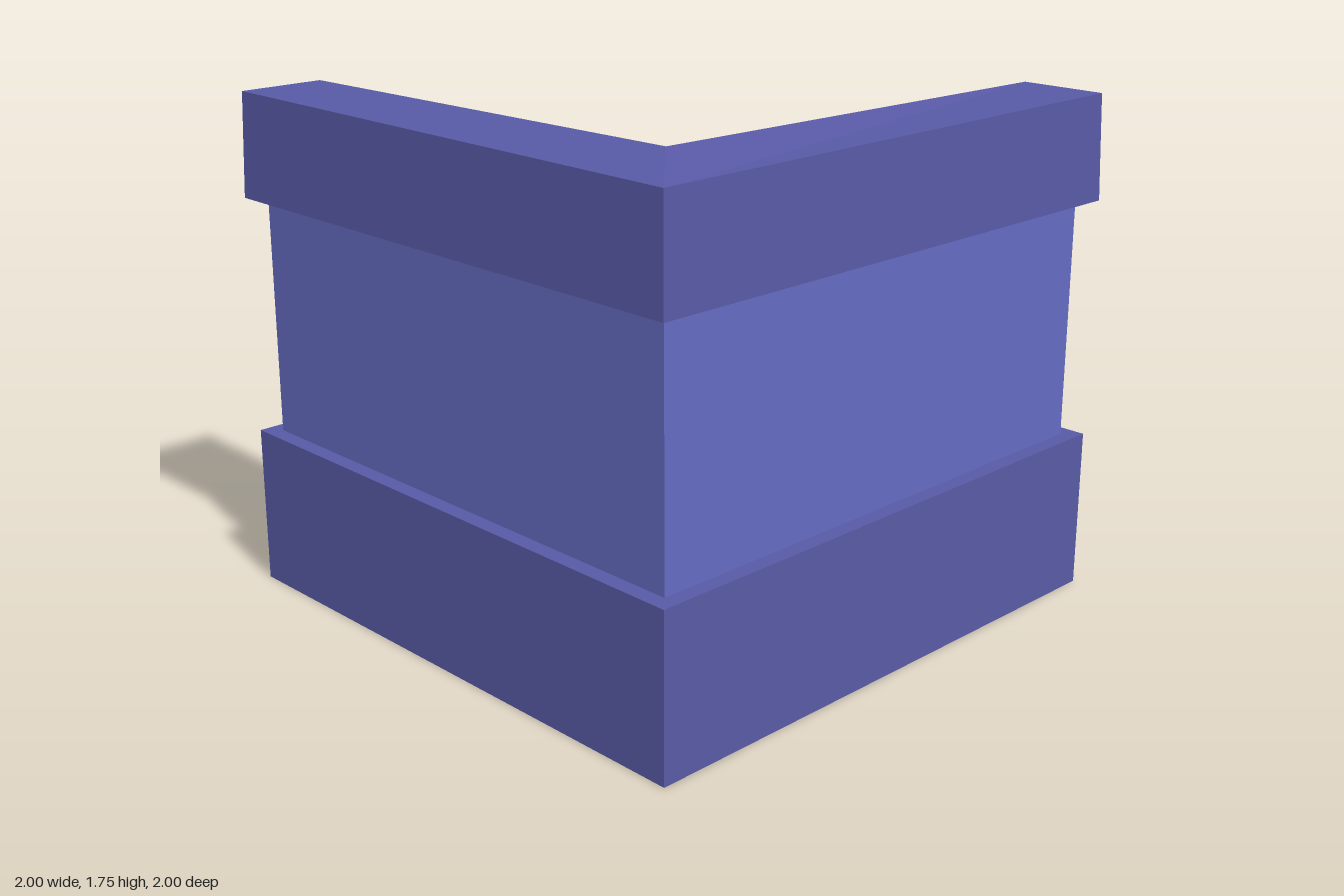
import * as THREE from 'three';

const mat = (color, extra = {}) => new THREE.MeshStandardMaterial({ color, ...extra });
const M = {
  wall: mat(0x646bc2), trim: mat(0x585aa6), floor: mat(0x7474a0, { side: THREE.DoubleSide }),
  rug: mat(0x524878, { side: THREE.DoubleSide }), wood: mat(0xe69a05), post: mat(0x9c6a10),
  knob: mat(0x96580f), sheet: mat(0x585aa6), pillow: mat(0xc4c4c4), frame: mat(0xf4e6e6),
  picture: mat(0xcccc50), pale: mat(0xbdb898), red: mat(0xd01410), green: mat(0x0f7a1c),
  book: mat(0xc08a28), shade: mat(0x6478d8, { flatShading: true, side: THREE.DoubleSide }),
};

function add(parent, name, geometry, material, x = 0, y = 0, z = 0) {
  const mesh = new THREE.Mesh(geometry, material);
  mesh.name = name;
  mesh.position.set(x, y, z);
  parent.add(mesh);
  return mesh;
}

// Box given by its limits on each axis
function box(parent, name, material, [x0, x1], [y0, y1], [z0, z1]) {
  return add(parent, name, new THREE.BoxGeometry(x1 - x0, y1 - y0, z1 - z0), material,
    (x0 + x1) / 2, (y0 + y1) / 2, (z0 + z1) / 2);
}

// Horizontal sheet given by its limits
function sheet(parent, name, material, [x0, x1], y, [z0, z1]) {
  add(parent, name, new THREE.PlaneGeometry(x1 - x0, z1 - z0).rotateX(-Math.PI / 2), material,
    (x0 + x1) / 2, y, (z0 + z1) / 2);
}

const shapeOf = (pts) => new THREE.Shape(pts.map(([x, y]) => new THREE.Vector2(x, y)));
const extrude = (shape, depth) =>
  new THREE.ExtrudeGeometry(shape, { depth, bevelEnabled: false, curveSegments: 12 });
const lathe = (pts, n) => new THREE.LatheGeometry(pts.map(([x, y]) => new THREE.Vector2(x, y)), n);

// One layer of the corner wall: two mitred arms, o = outer limit, i = inner limit
function wallLayer(parent, name, material, o, i, y0, y1, reshape) {
  const arms = {
    Front: [[-o, -o], [o, -o], [o, -i], [-i, -i]],
    Side: [[-o, -o], [-i, -i], [-i, o], [-o, o]],
  };
  for (const [side, pts] of Object.entries(arms)) {
    const g = extrude(shapeOf(pts), y1 - y0).rotateX(-Math.PI / 2).translate(0, y0, 0);
    if (reshape) {
      reshape(g.attributes.position);
      g.computeVertexNormals();
    }
    add(parent, name + side, g, material);
  }
}

// Top of the capping leans in and rises towards the inner corner
function leanTop(p) {
  for (let k = 0; k < p.count; k++) {
    if (p.getY(k) < 1.5) continue;
    const x = p.getX(k), z = p.getZ(k);
    const corner = Math.abs(x) < 0.9 && Math.abs(z) < 0.9;
    const move = (v) => (Math.abs(v) > 0.9 ? v * 0.99 : v * (corner ? 1.03 : 1));
    p.setXYZ(k, move(x), corner ? 1.753 : 1.727, move(z));
  }
}

// Arched bed end with a lower panel, trim and two posts
function bedEnd(name, z, boardZ, peak) {
  const g = new THREE.Group();
  g.name = name;
  const arch = (y, top, rise) => {
    const s = new THREE.Shape();
    s.moveTo(-0.63, y);
    s.lineTo(0.125, y);
    s.lineTo(0.125, top);
    s.quadraticCurveTo(-0.2525, top + 2 * rise, -0.63, top);
    return s;
  };
  const rise = peak - 0.585;
  box(g, 'lowerPanel', M.wood, [-0.63, 0.125], [0.285, 0.425], [boardZ - 0.024, boardZ + 0.024]);
  add(g, 'archPanel', extrude(arch(0.43, 0.55, rise), 0.048), M.wood, 0, 0, boardZ - 0.024);
  const trim = arch(0.548, 0.585, rise);
  trim.curves[0] = new THREE.QuadraticBezierCurve(new THREE.Vector2(-0.63, 0.548),
    new THREE.Vector2(-0.2525, 0.548 + 2 * rise), new THREE.Vector2(0.125, 0.548));
  add(g, 'archTrim', extrude(trim, 0.074), M.wood, 0, 0, boardZ - 0.037);
  const half = [[0.044, 0.2], [0.031, 0.32], [0.03, 0.42], [0.04, 0.54], [0.036, 0.605]];
  const profile = [...half, ...half.map(([x, y]) => [-x, y]).reverse()];
  for (const x of [-0.65, 0.145]) {
    add(g, 'post', extrude(shapeOf(profile), 0.09), M.post, x, 0, z - 0.045);
    add(g, 'postNeck', new THREE.CylinderGeometry(0.028, 0.036, 0.03, 12), M.knob, x, 0.62, z);
    add(g, 'postBall', new THREE.SphereGeometry(0.04, 16, 12), M.knob, x, 0.663, z);
  }
  return g;
}

// Deep picture frame on the side wall
function pictureFrame(z0, z1, y0, y1, border) {
  const g = new THREE.Group();
  g.name = 'pictureFrame';
  const w = (z1 - z0) / 2, h = (y1 - y0) / 2;
  const rect = (a, b) => [[-a, -b], [a, -b], [a, b], [-a, b]];
  const s = shapeOf(rect(w, h));
  s.holes.push(shapeOf(rect(w - border, h - 0.057)));
  add(g, 'frame', extrude(s, 0.09), M.frame);
  add(g, 'picture', new THREE.BoxGeometry(2 * w - 0.04, 2 * h - 0.04, 0.02), M.picture, 0, 0, 0.02);
  g.rotation.y = Math.PI / 2;
  g.position.set(-0.745, (y0 + y1) / 2, (z0 + z1) / 2);
  return g;
}

export function createModel() {
  const room = new THREE.Group();
  room.name = 'bedroom';

  // Walls, floor and rug
  wallLayer(room, 'wallBase', M.trim, 1, 0.685, 0, 0.55);
  wallLayer(room, 'wall', M.wall, 0.945, 0.743, 0.55, 1.37);
  wallLayer(room, 'wallCap', M.trim, 1, 0.687, 1.37, 1.727, leanTop);
  sheet(room, 'floor', M.floor, [-0.69, 0.942], 0.167, [-0.945, 0.69]);
  sheet(room, 'floorStrip', M.floor, [-0.69, -0.44], 0.195, [-0.945, 0.69]);
  sheet(room, 'rug', M.rug, [0.17, 0.51], 0.2, [-0.477, 0.093]);

  // Bed
  const bed = new THREE.Group();
  bed.name = 'bed';
  room.add(bed);
  bed.add(bedEnd('headboard', 0.638, 0.617, 0.68), bedEnd('footboard', -0.585, -0.585, 0.635));
  for (const x of [-0.597, 0.095]) box(bed, 'sideRail', M.wood, [x - 0.012, x + 0.012], [0.285, 0.465], [-0.56, 0.6]);
  box(bed, 'mattress', M.sheet, [-0.608, 0.106], [0.465, 0.5], [-0.545, 0.575]);
  box(bed, 'bedBase', M.sheet, [-0.585, 0.083], [0.3, 0.465], [-0.545, 0.575]);
  box(bed, 'blanket', M.sheet, [-0.598, 0.093], [0.49, 0.515], [-0.508, 0.37]);
  // Pillow: box swelling in the middle and pinched along its sides
  const pillow = new THREE.BoxGeometry(0.41, 0.07, 0.19, 8, 2, 6);
  const p = pillow.attributes.position;
  for (let k = 0; k < p.count; k++) {
    const u = p.getX(k) / 0.205, v = p.getZ(k) / 0.095;
    p.setXYZ(k, p.getX(k) * (0.97 + 0.03 * v * v),
      p.getY(k) * (0.45 + 0.55 * (1 - u ** 4) * (1 - v ** 4)), p.getZ(k) * (0.94 + 0.06 * u * u));
  }
  pillow.computeVertexNormals();
  add(bed, 'pillow', pillow, M.pillow, -0.268, 0.535, 0.46);

  // Nightstand
  const stand = new THREE.Group();
  stand.name = 'nightstand';
  room.add(stand);
  box(stand, 'cabinet', M.wood, [0.365, 0.67], [0.2, 0.497], [0.345, 0.64]);
  box(stand, 'standTop', M.pale, [0.335, 0.7], [0.497, 0.522], [0.31, 0.672]);
  for (const y of [0.29, 0.415]) {
    box(stand, 'drawerFront', M.pale, [0.395, 0.64], [y - 0.033, y + 0.033], [0.333, 0.35]);
    add(stand, 'drawerKnob', new THREE.SphereGeometry(0.012, 10, 8), M.pale, 0.517, y, 0.328);
  }

  // Lamp
  const lamp = new THREE.Group();
  lamp.name = 'lamp';
  lamp.position.set(0.515, 0.522, 0.475);
  room.add(lamp);
  add(lamp, 'lampBase', lathe([[0, 0], [0.045, 0], [0.075, 0.02], [0.085, 0.043], [0.07, 0.068],
    [0.035, 0.085], [0.012, 0.095], [0.012, 0.13], [0, 0.13]], 20), M.knob);
  add(lamp, 'lampShade', new THREE.CylinderGeometry(0.03, 0.08, 0.067, 10, 1, true), M.shade, 0, 0.135, 0);
  add(lamp, 'shadeTop', new THREE.CircleGeometry(0.03, 10).rotateX(-Math.PI / 2), M.shade, 0, 0.167, 0);

  // Wall shelf with a cactus and books
  const shelf = new THREE.Group();
  shelf.name = 'shelf';
  room.add(shelf);
  box(shelf, 'shelfBoard', M.pale, [-0.01, 0.75], [1.0, 1.075], [0.583, 0.745]);
  add(shelf, 'cactusPot', lathe([[0, 0], [0.04, 0], [0.043, 0.012], [0.035, 0.022], [0.053, 0.04],
    [0.058, 0.06], [0.052, 0.08], [0.042, 0.092], [0, 0.092]], 18), M.knob, 0.222, 1.075, 0.66);
  add(shelf, 'cactus', new THREE.SphereGeometry(0.05, 16, 14).scale(1, 1.7, 1), M.green, 0.222, 1.215, 0.66);
  box(shelf, 'lowerBook', M.book, [0.41, 0.55], [1.075, 1.093], [0.61, 0.71]).rotation.y = 0.2;
  box(shelf, 'upperBook', M.red, [0.415, 0.55], [1.093, 1.115], [0.605, 0.71]).rotation.y = -0.05;

  // Pictures on the side wall
  const wide = pictureFrame(-0.092, 0.27, 0.68, 1.23, 0.075);
  box(wide, 'frameBack', M.frame, [-0.2, 0.05], [-0.275, 0.275], [0, 0.02]);
  room.add(wide, pictureFrame(-0.387, -0.113, 0.96, 1.23, 0.054),
    pictureFrame(-0.387, -0.113, 0.68, 0.953, 0.054));

  return room;
}
